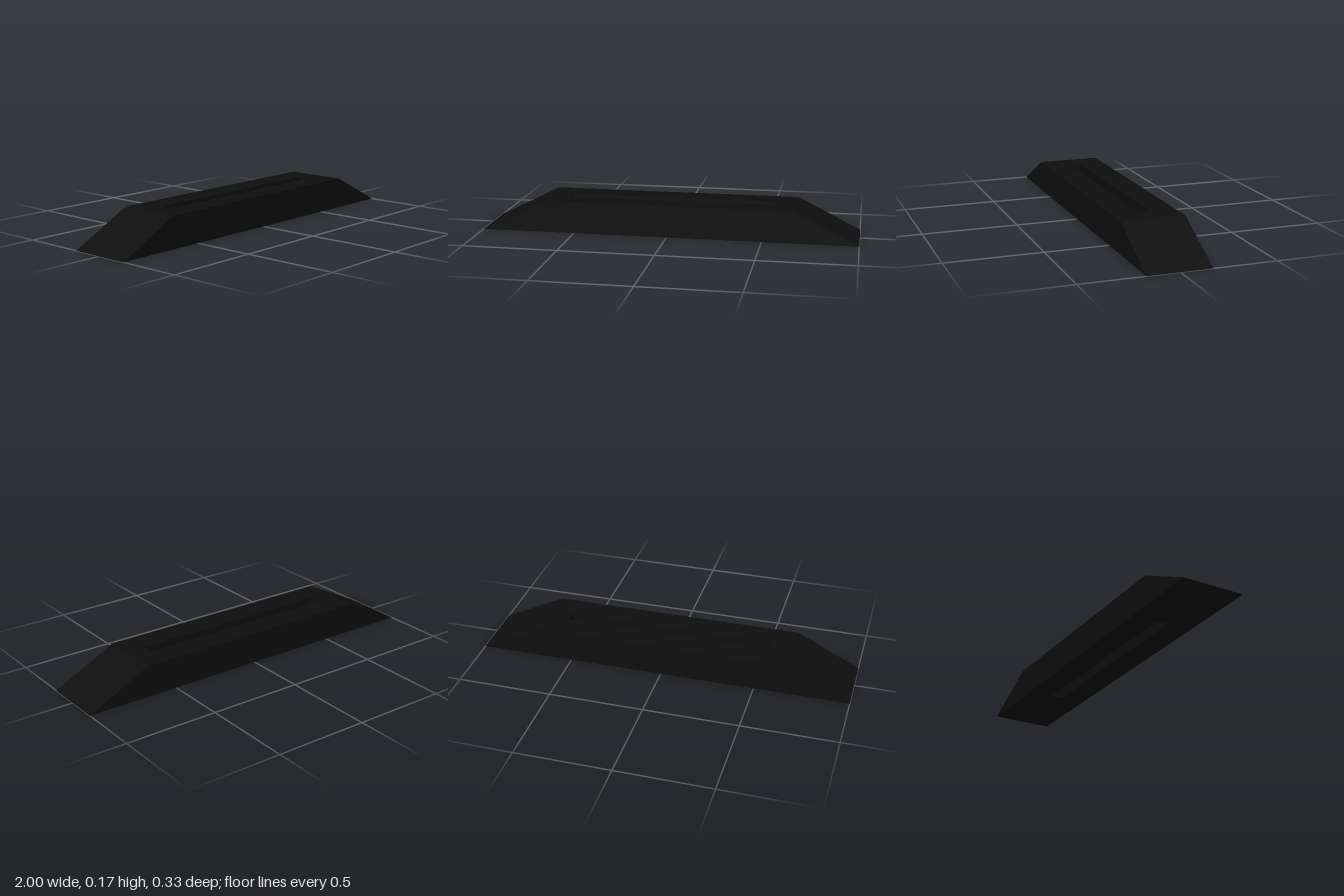
import * as THREE from 'three';

const HALF_LENGTH = 1, TOP_HALF_LENGTH = 0.667, HALF_DEPTH = 0.167, HEIGHT = 0.167;
const SLOT_HALF_LENGTH = 0.556, SLOT_HALF_DEPTH = 0.033;

// Corners of a centred rectangle
function rectangle(x, y) {
  return [[-x, -y], [x, -y], [x, y], [-x, y]].map(([a, b]) => new THREE.Vector2(a, b));
}

export function createModel() {
  const group = new THREE.Group();
  const black = new THREE.MeshStandardMaterial({ color: 0x0e0e0e, flatShading: true });
  black.name = 'black';

  // Rectangular plan with a slot through it, raised to full height
  const plan = new THREE.Shape(rectangle(HALF_LENGTH, HALF_DEPTH));
  plan.holes.push(new THREE.Path(rectangle(SLOT_HALF_LENGTH, SLOT_HALF_DEPTH).reverse()));
  const geometry = new THREE.ExtrudeGeometry(plan, { depth: HEIGHT, bevelEnabled: false });
  geometry.rotateX(-Math.PI / 2);

  // Pull the upper outer corners inward to make the sloping ends
  const position = geometry.attributes.position;
  for (let i = 0; i < position.count; i++) {
    const x = position.getX(i);
    if (position.getY(i) > HEIGHT / 2 && Math.abs(x) > TOP_HALF_LENGTH) {
      position.setX(i, Math.sign(x) * TOP_HALF_LENGTH);
    }
  }
  geometry.computeVertexNormals();

  const body = new THREE.Mesh(geometry, black);
  body.name = 'slottedBody';
  group.add(body);
  return group;
}
